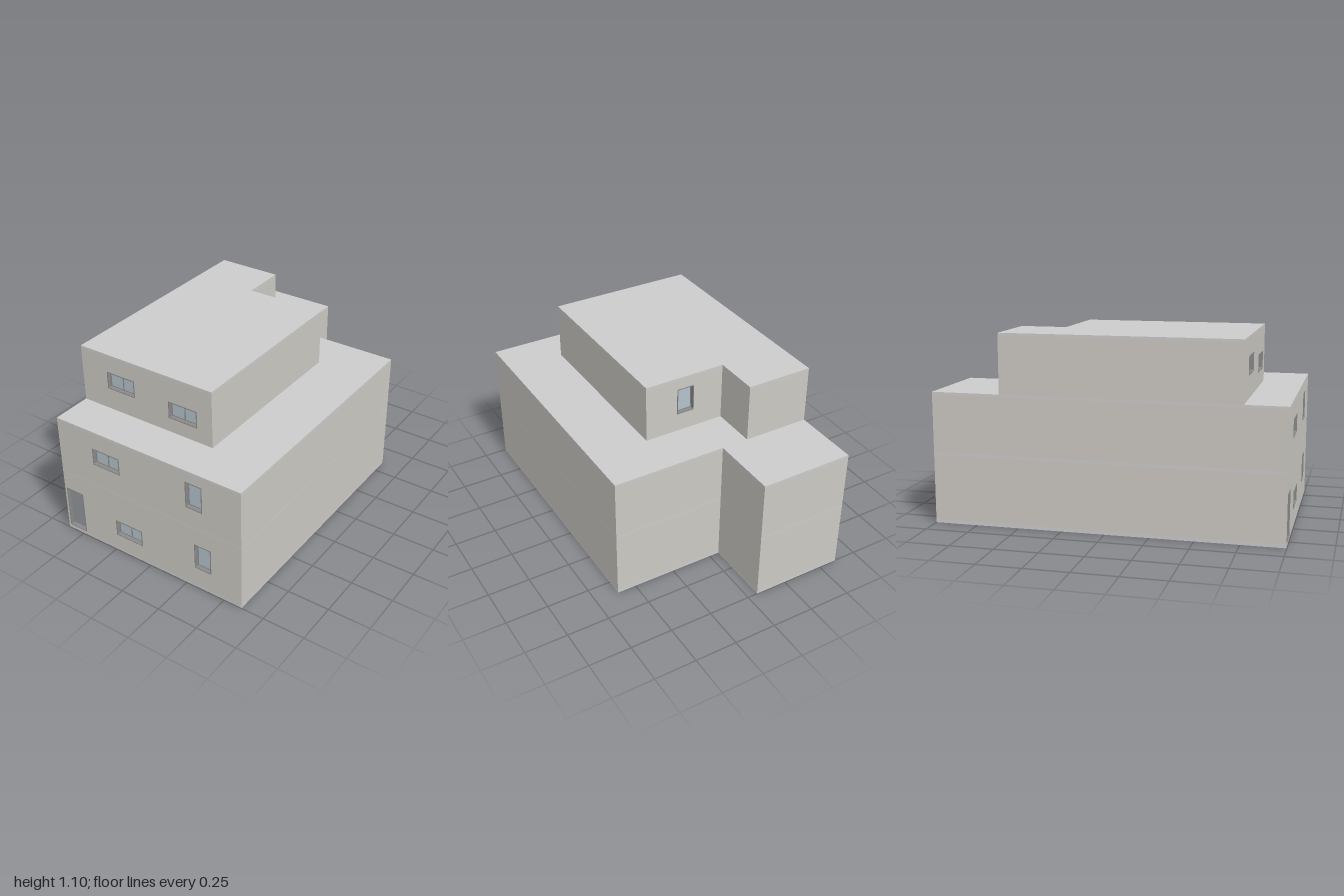
import * as THREE from 'three';

const T = 0.03; // depth of the window reveals
const mat = (color) => new THREE.MeshStandardMaterial({ color });
const wallMat = mat(0xccc9c3), slabMat = mat(0xc2c2c1), frameMat = mat(0x8a8a8a);
const glassMat = mat(0xb4c2cb), doorMat = mat(0x94979c);

// Openings as [x0, x1, y0, y1, kind]
const groundOpenings = [
  [-0.595, -0.475, 0.025, 0.29, 'door'],
  [-0.237, -0.052, 0.112, 0.214, 'double'],
  [0.31, 0.417, 0.137, 0.297, 'single'],
];
const firstOpenings = [
  [-0.367, -0.181, 0.546, 0.65, 'double'],
  [0.263, 0.369, 0.527, 0.69, 'single'],
];
const topOpenings = [
  [-0.434, -0.246, 0.89, 0.994, 'double'],
  [-0.016, 0.17, 0.848, 0.95, 'double'],
];
const backOpenings = [[-0.035, 0.072, 0.87, 1.03, 'single']];

function rectPath(Type, x0, x1, y0, y1) {
  const p = new Type();
  p.moveTo(x0, y0);
  p.lineTo(x1, y0);
  p.lineTo(x1, y1);
  p.lineTo(x0, y1);
  p.closePath();
  return p;
}

function addMesh(parent, name, geometry, material, x = 0, y = 0, z = 0) {
  const m = new THREE.Mesh(geometry, material);
  m.name = name;
  m.position.set(x, y, z);
  parent.add(m);
  return m;
}

// L-shaped plan: a main block with a narrower wing behind it
function plan({ x0, x1, front, back, wingX, wingBack }) {
  return new THREE.Shape([
    [x0, front], [x1, front], [x1, back], [wingX, back], [wingX, wingBack], [x0, wingBack],
  ].map(([x, z]) => new THREE.Vector2(x, -z)));
}

function prism(parent, name, outline, y0, y1, material) {
  const g = new THREE.ExtrudeGeometry(plan(outline), { depth: y1 - y0, bevelEnabled: false });
  g.rotateX(-Math.PI / 2);
  return addMesh(parent, name, g, material, 0, y0, 0);
}

// Wall layer of depth T pierced by its openings
function wallPanel(parent, name, x0, x1, y0, y1, z, openings) {
  const s = rectPath(THREE.Shape, x0, x1, y0, y1);
  for (const o of openings) s.holes.push(rectPath(THREE.Path, o[0], o[1], o[2], o[3]));
  addMesh(parent, name, new THREE.ExtrudeGeometry(s, { depth: T, bevelEnabled: false }), wallMat, 0, 0, z);
}

function ring(w, h, t, depth) {
  const s = rectPath(THREE.Shape, -w / 2, w / 2, -h / 2, h / 2);
  s.holes.push(rectPath(THREE.Path, t - w / 2, w / 2 - t, t - h / 2, h / 2 - t));
  return new THREE.ExtrudeGeometry(s, { depth, bevelEnabled: false });
}

// Framed window or door set into an opening
function fitting(parent, [x0, x1, y0, y1, kind], zFace, facesBack) {
  const w = x1 - x0, h = y1 - y0;
  const g = new THREE.Group();
  g.name = kind === 'door' ? 'frontDoor' : kind + 'Window';
  g.position.set((x0 + x1) / 2, (y0 + y1) / 2, zFace);
  if (facesBack) g.rotation.y = Math.PI;
  addMesh(g, 'frame', ring(w, h, 0.005, T + 0.003), frameMat, 0, 0, -T);
  addMesh(g, 'sash', ring(w - 0.01, h - 0.01, 0.004, 0.01), frameMat, 0, 0, -T);
  if (kind === 'door') {
    addMesh(g, 'doorLeaf', new THREE.BoxGeometry(w - 0.01, h - 0.01, 0.006), doorMat, 0, 0, -T + 0.005);
    addMesh(g, 'knob', new THREE.SphereGeometry(0.003, 10, 8), frameMat, w / 2 - 0.015, -0.01, -T + 0.01);
  } else {
    addMesh(g, 'glass', new THREE.BoxGeometry(w - 0.01, h - 0.01, 0.004), glassMat, 0, 0, -T + 0.004);
    if (kind === 'double') {
      addMesh(g, 'mullion', new THREE.BoxGeometry(0.005, h - 0.01, 0.01), frameMat, 0, 0, -T + 0.006);
    }
  }
  parent.add(g);
}

// One storey: solid core, pierced front layer and optional pierced back layer
function storey(parent, name, o, y0, y1, front, back) {
  const g = new THREE.Group();
  g.name = name;
  const core = { ...o, front: o.front - T, back: back ? o.back + T : o.back };
  prism(g, 'walls', core, y0, y1, wallMat);
  wallPanel(g, 'frontWall', o.x0, o.x1, y0, y1, o.front - T, front);
  for (const f of front) fitting(g, f, o.front, false);
  if (back) {
    wallPanel(g, 'backWall', o.wingX, o.x1, y0, y1, o.back, back);
    for (const f of back) fitting(g, f, o.back, true);
  }
  parent.add(g);
}

export function createModel() {
  const house = new THREE.Group();
  house.name = 'house';

  const lower = { x0: -0.612, x1: 0.612, front: 0.997, back: -0.6, wingX: -0.06, wingBack: -1 };
  const upper = { x0: -0.612, x1: 0.268, front: 0.757, back: -0.33, wingX: -0.22, wingBack: -0.6 };

  // Floor and roof slabs
  prism(house, 'groundSlab', lower, 0, 0.02, slabMat);
  prism(house, 'firstFloorSlab', lower, 0.397, 0.415, slabMat);
  prism(house, 'terraceSlab', lower, 0.745, 0.76, slabMat);
  prism(house, 'roofSlab', upper, 1.087, 1.102, slabMat);

  // Storeys between the slabs
  storey(house, 'groundFloor', lower, 0.02, 0.397, groundOpenings);
  storey(house, 'firstFloor', lower, 0.415, 0.745, firstOpenings);
  storey(house, 'topFloor', upper, 0.76, 1.087, topOpenings, backOpenings);

  return house;
}
